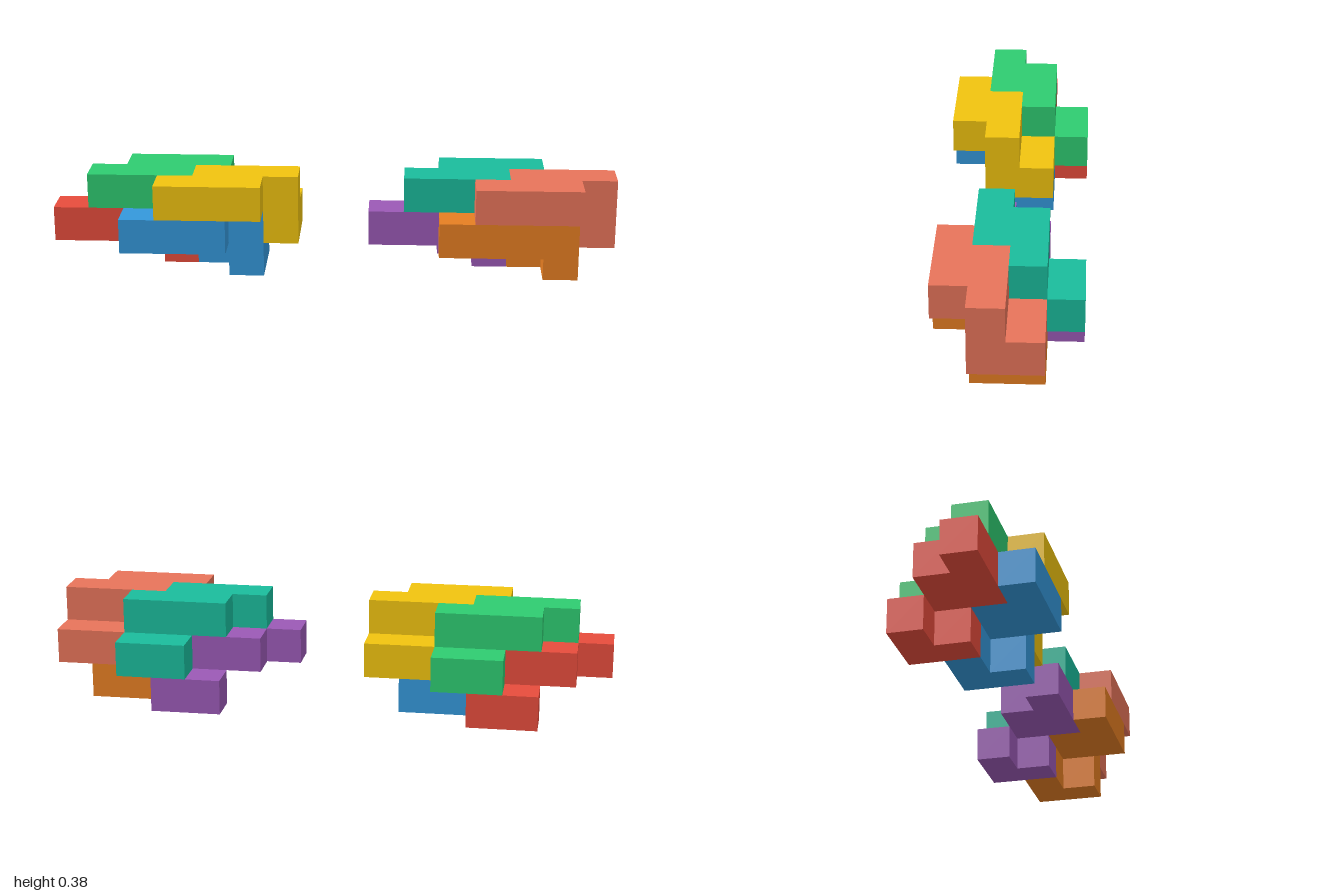
import * as THREE from 'three';
import { mergeGeometries } from 'three/addons/utils/BufferGeometryUtils.js';

const U = 0.125; // cube edge

// Cubes of one puzzle piece (x, y, z in cube units): an upper S-shaped plate and a lower hook
const CELLS = [
  [0, 1, 2], [1, 1, 2], [2, 1, 2],
  [1, 1, 1], [2, 1, 1], [3, 1, 1],
  [3, 0, 1], [2, 0, 0], [3, 0, 0],
];

const DIRECTIONS = [[1, 0, 0], [-1, 0, 0], [0, 1, 0], [0, -1, 0], [0, 0, 1], [0, 0, -1]];

// One square for every cube side that is not covered by a cube of the same piece
function pieceGeometry() {
  const filled = new Set(CELLS.map(String));
  const front = new THREE.Vector3(0, 0, 1);
  const faces = [];
  for (const c of CELLS) {
    for (const d of DIRECTIONS) {
      if (filled.has(String(c.map((v, i) => v + d[i])))) continue;
      const turn = new THREE.Quaternion().setFromUnitVectors(front, new THREE.Vector3(...d));
      const face = new THREE.PlaneGeometry(U, U).applyQuaternion(turn);
      face.translate(...c.map((v, i) => (v + 0.5 + d[i] / 2) * U));
      faces.push(face);
    }
  }
  return mergeGeometries(faces);
}

// Offsets of the four interlocking pieces within a cluster, in cube units
const PIECES = [
  { name: 'lowerBackPiece', at: [0, 0, 0] },
  { name: 'lowerFrontPiece', at: [2, 0, 1] },
  { name: 'upperBackPiece', at: [1, 1, 0] },
  { name: 'upperFrontPiece', at: [3, 1, 1] },
];

const CLUSTERS = [
  { name: 'rightCluster', x: -1, colors: [0xe74c3c, 0x3498db, 0x2ecc71, 0xf1c40f] },
  { name: 'leftCluster', x: 0.125, colors: [0x9b59b6, 0xe67e22, 0x1abc9c, 0xe8745a] },
];

export function createModel() {
  const model = new THREE.Group();
  model.name = 'interlockingPuzzle';
  const geometry = pieceGeometry();

  for (const { name, x, colors } of CLUSTERS) {
    const cluster = new THREE.Group();
    cluster.name = name;
    cluster.position.set(x, 0, -2 * U);
    PIECES.forEach((piece, i) => {
      const mesh = new THREE.Mesh(geometry, new THREE.MeshStandardMaterial({ color: colors[i] }));
      mesh.name = piece.name;
      mesh.position.set(...piece.at).multiplyScalar(U);
      cluster.add(mesh);
    });
    model.add(cluster);
  }
  return model;
}
